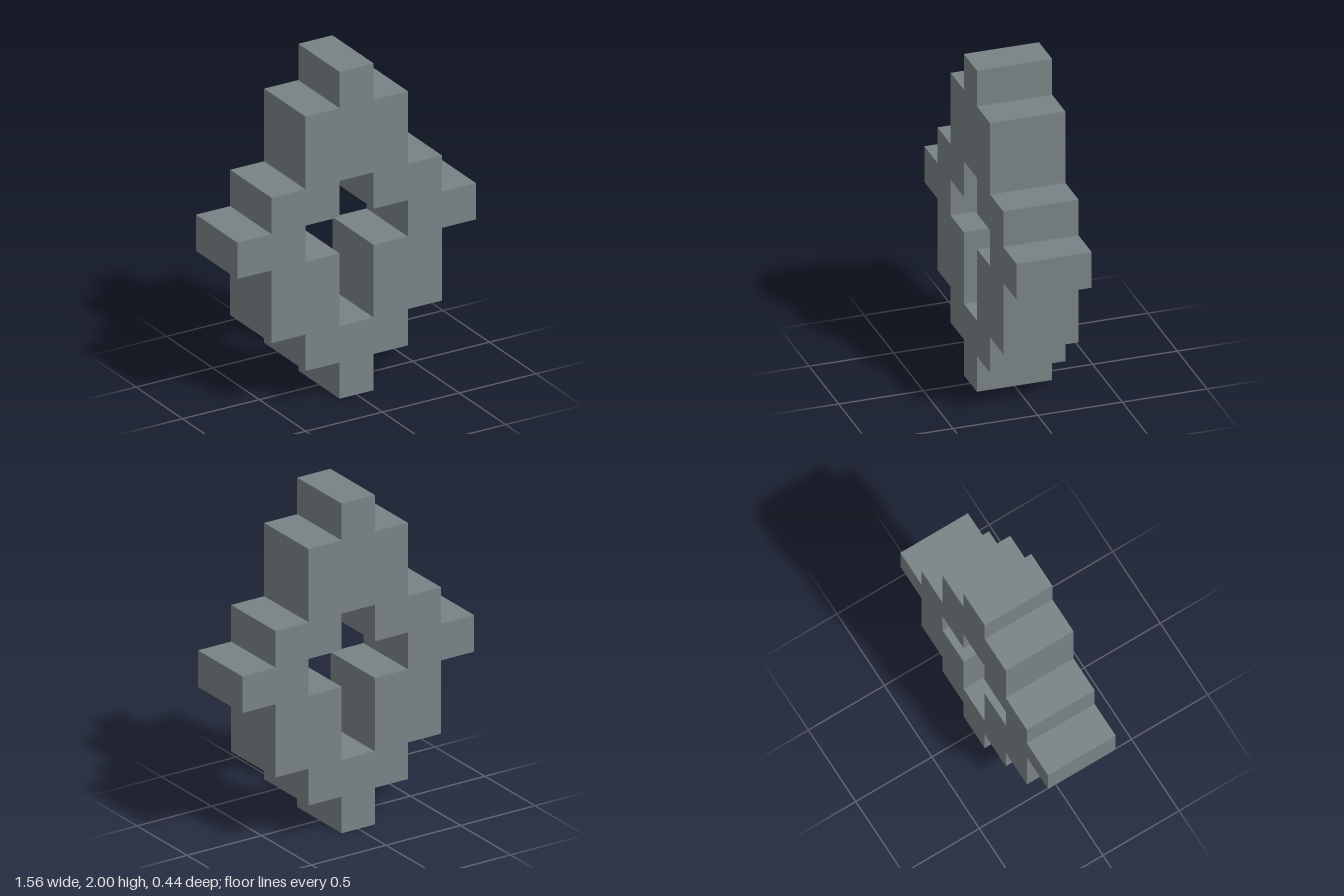
import * as THREE from 'three';

const U = 2 / 9; // one grid step

// Stepped outline, mirrored about x = 0, from rows of [bottom, top, halfWidth] in grid steps
function steppedPoints(rows) {
  const right = rows.flatMap(([y0, y1, w]) => [
    new THREE.Vector2(w * U, y0 * U),
    new THREE.Vector2(w * U, y1 * U),
  ]);
  const left = right.map((p) => new THREE.Vector2(-p.x, p.y)).reverse();
  return [...right, ...left];
}

export function createModel() {
  const group = new THREE.Group();
  group.name = 'steppedFrame';

  const stone = new THREE.MeshStandardMaterial({ color: 0x788285 });
  stone.name = 'slate grey';

  // Diamond-like stepped body
  const shape = new THREE.Shape(steppedPoints([
    [0, 1, 0.5], [1, 2, 1.5], [2, 4, 2.5], [4, 5, 3.5],
    [5, 6, 2.5], [6, 8, 1.5], [8, 9, 0.5],
  ]));

  // Cross-shaped opening right through it
  shape.holes.push(new THREE.Path(steppedPoints([
    [2, 4, 0.5], [4, 5, 1.5], [5, 6, 0.5],
  ])));

  const geometry = new THREE.ExtrudeGeometry(shape, { depth: 2 * U, bevelEnabled: false });
  geometry.translate(0, 0, -U);

  const body = new THREE.Mesh(geometry, stone);
  body.name = 'body';
  group.add(body);
  return group;
}
